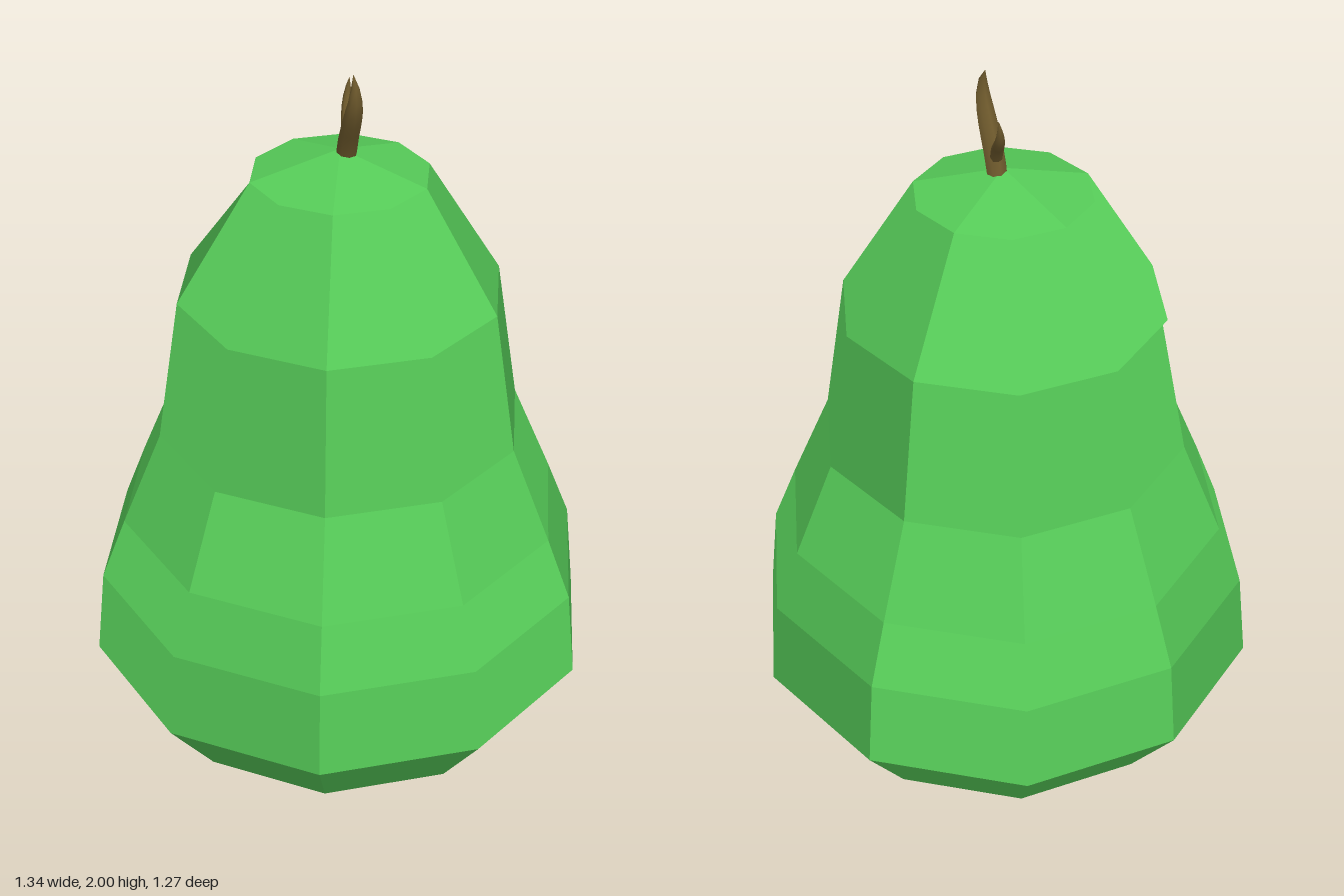
import * as THREE from 'three';

const SIDES = 10;
// Body profile: radius, height
const PROFILE = [
  [0, 0], [0.28, 0.035], [0.52, 0.17], [0.67, 0.37], [0.645, 0.605],
  [0.58, 0.77], [0.475, 1.02], [0.415, 1.4], [0.225, 1.71], [0, 1.775],
];

function ringPoint(level, i) {
  const [r, y] = PROFILE[level];
  const t = (i / SIDES) * Math.PI * 2;
  return new THREE.Vector3(r * Math.cos(t), y, r * Math.sin(t));
}

// Faceted body: each facet spans one or more sides and has a single flat normal
function bodyGeometry() {
  const positions = [], normals = [];

  function addFacet(level, start, count, folded) {
    const a = [], b = [], tris = [];
    for (let i = 0; i <= count; i++) {
      a.push(ringPoint(level, start + i));
      b.push(ringPoint(level + 1, start + i));
    }
    const normal = new THREE.Vector3();
    for (let i = 0; i < count; i++) {
      const d1 = b[i + 1].clone().sub(a[i]);
      const d2 = a[i + 1].clone().sub(b[i]);
      normal.add(d1.cross(d2));
      if (folded) {
        // two opposed fans meeting in a diagonal valley
        tris.push([a[count], b[i], b[i + 1]], [b[0], a[i + 1], a[i]]);
      } else if (level === 0) {
        tris.push([a[i], b[i], b[i + 1]]);
      } else {
        tris.push([a[i], b[i], a[i + 1]]);
        if (level < PROFILE.length - 2) tris.push([b[i], b[i + 1], a[i + 1]]);
      }
    }
    normal.normalize();
    for (const tri of tris) {
      for (const p of tri) {
        positions.push(p.x, p.y, p.z);
        normals.push(normal.x, normal.y, normal.z);
      }
    }
  }

  for (let level = 0; level < PROFILE.length - 1; level++) {
    if (level === 5) {
      // waist band: one facet per side
      for (let i = 0; i < SIDES; i++) addFacet(level, i, 1, false);
    } else if (level === 6 || level === 7) {
      // neck bands: one wide folded facet across the back
      addFacet(level, 5, 4, true);
      for (const i of [9, 1, 3]) addFacet(level, i, 2, false);
    } else {
      for (let i = 1; i < SIDES; i += 2) addFacet(level, i, 2, false);
    }
  }

  const g = new THREE.BufferGeometry();
  g.setAttribute('position', new THREE.Float32BufferAttribute(positions, 3));
  g.setAttribute('normal', new THREE.Float32BufferAttribute(normals, 3));
  return g;
}

// Tube narrowing to a point at its tip
function taperedTube(points, radius, power, segments) {
  const radial = 8;
  const curve = new THREE.CatmullRomCurve3(points.map((p) => new THREE.Vector3(...p)));
  const g = new THREE.TubeGeometry(curve, segments, radius, radial, false);
  const pos = g.attributes.position;
  const v = new THREE.Vector3();
  for (let i = 0; i < pos.count; i++) {
    const u = Math.floor(i / (radial + 1)) / segments;
    const c = curve.getPointAt(u);
    v.fromBufferAttribute(pos, i).sub(c).multiplyScalar(1 - Math.pow(u, power)).add(c);
    pos.setXYZ(i, v.x, v.y, v.z);
  }
  g.computeVertexNormals();
  return g;
}

export function createModel() {
  const green = new THREE.MeshStandardMaterial({ color: 0x56cb58 });
  green.name = 'green skin';
  const brown = new THREE.MeshStandardMaterial({ color: 0x6b572b });
  brown.name = 'brown wood';

  const model = new THREE.Group();
  model.name = 'pear';

  const add = (name, geometry, material) => {
    const mesh = new THREE.Mesh(geometry, material);
    mesh.name = name;
    model.add(mesh);
  };

  add('body', bodyGeometry(), green);

  // Forked stem
  add('stem', taperedTube([
    [0.014, 1.75, 0.0], [0.014, 1.81, 0.025], [0.014, 1.87, 0.06],
    [0.014, 1.925, 0.088], [0.014, 1.96, 0.092], [0.012, 2.0, 0.08],
  ], 0.026, 4, 8), brown);
  add('twig', taperedTube([
    [0.014, 1.79, 0.015], [0.02, 1.835, -0.012], [0.026, 1.868, -0.04],
    [0.032, 1.9, -0.056], [0.036, 1.935, -0.055],
  ], 0.016, 3, 7), brown);

  return model;
}
